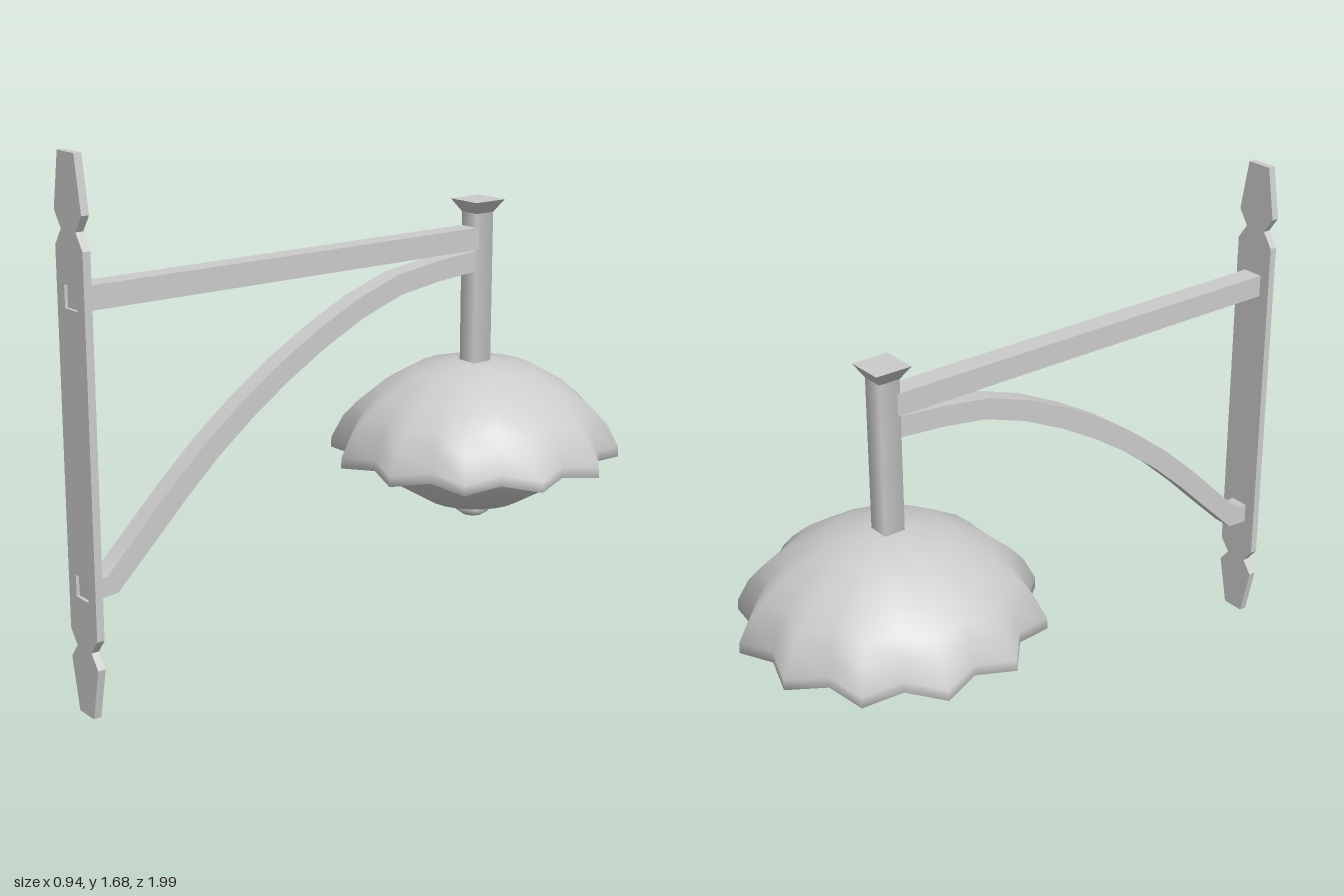
import * as THREE from 'three';
import { mergeVertices } from 'three/addons/utils/BufferGeometryUtils.js';

const LAMP_Z = -0.525;

export function createModel() {
  const model = new THREE.Group();
  const material = new THREE.MeshStandardMaterial({ color: 0xcccccc });

  function add(name, geometry, x = 0, y = 0, z = 0) {
    const mesh = new THREE.Mesh(geometry, material);
    mesh.name = name;
    mesh.position.set(x, y, z);
    model.add(mesh);
    return mesh;
  }

  // Weld the vertices so the shading runs smoothly over the whole surface
  function smooth(geometry) {
    geometry.deleteAttribute('uv');
    geometry.deleteAttribute('normal');
    const welded = mergeVertices(geometry, 1e-4);
    welded.computeVertexNormals();
    return welded;
  }

  // Upright four-sided post, given half widths at top and bottom
  const post = (top, bottom, height) =>
    new THREE.CylinderGeometry(top * Math.SQRT2, bottom * Math.SQRT2, height, 4, 1, false, Math.PI / 4);

  // Square bar bent along a list of [z, y] points
  function squareBar(path, half) {
    const n = path.length - 1;
    const g = new THREE.BoxGeometry(half * 2, half * 2, 1, 1, 1, n);
    const pos = g.attributes.position;
    for (let i = 0; i < pos.count; i++) {
      const k = Math.round((0.5 - pos.getZ(i)) * n);
      const a = path[Math.max(k - 1, 0)], b = path[Math.min(k + 1, n)];
      const dz = b[0] - a[0], dy = b[1] - a[1], len = Math.hypot(dz, dy);
      const h = pos.getY(i);
      pos.setXYZ(i, pos.getX(i), path[k][1] - (h * dz) / len, path[k][0] + (h * dy) / len);
    }
    g.computeVertexNormals();
    return g;
  }

  // Wall plate: half outline mirrored in x, with two square sockets
  const half = [[0.04, 0], [0.075, 0.165], [0.04, 0.21], [0.075, 0.255],
    [0.075, 1.41], [0.04, 1.46], [0.075, 1.51], [0.045, 1.68]];
  const outline = [...half, ...half.map(([x, y]) => [-x, y]).reverse()];
  const plate = new THREE.Shape(outline.map(([x, y]) => new THREE.Vector2(x, y)));
  for (const y of [0.4, 1.268]) {
    const s = 0.034;
    plate.holes.push(new THREE.Path([[-s, y - s], [-s, y + s], [s, y + s], [s, y - s]]
      .map(([px, py]) => new THREE.Vector2(px, py))));
  }
  add('wallPlate', new THREE.ExtrudeGeometry(plate, { depth: 0.025, bevelEnabled: false }), 0, 0, 0.975);

  // Horizontal arm
  add('arm', squareBar([[0.99, 1.268], [-0.5, 1.268]], 0.0365));

  // Curved brace with a short straight foot
  const curve = new THREE.CatmullRomCurve3([[0.917, 0.402], [0.53, 0.77], [0.18, 1.008], [-0.16, 1.155], [-0.5, 1.195]]
    .map(([z, y]) => new THREE.Vector3(0, y, z)));
  const arc = curve.getSpacedPoints(10).map((p) => [p.z, p.y]);
  add('brace', squareBar([[0.99, 0.4], ...arc], 0.034));

  // Hanging post and its flared cap
  add('post', post(0.036, 0.036, 0.55), 0, 1.095, LAMP_Z);
  add('postCap', post(0.062, 0.036, 0.042), 0, 1.371, LAMP_Z);

  // Scalloped shade: [radius, y, scallop depth] from the inner underside over the rim to the top
  const profile = [[0.34, 0.6, 0], [0.44, 0.56, 0.7], [0.472, 0.535, 1], [0.486, 0.53, 1], [0.484, 0.565, 1],
    [0.445, 0.64, 0.85], [0.4, 0.69, 0.65], [0.33, 0.75, 0.4], [0.2, 0.825, 0.15], [0.075, 0.85, 0], [0, 0.85, 0]];
  const shade = new THREE.LatheGeometry(profile.map(([r, y]) => new THREE.Vector2(r, y)), 24);
  const sp = shade.attributes.position;
  for (let i = 0; i < sp.count; i++) {
    const notch = Math.floor(i / profile.length) % 2 === 0;
    if (!notch) continue;
    const w = profile[i % profile.length][2];
    const k = 1 - 0.12 * w;
    sp.setXYZ(i, sp.getX(i) * k, sp.getY(i) + 0.014 * w, sp.getZ(i) * k);
  }
  add('shade', smooth(shade), 0, 0, LAMP_Z);

  // Glass bowl under the shade
  const bowl = [[0, 0.35], [0.06, 0.353], [0.167, 0.379], [0.274, 0.444], [0.33, 0.5], [0.358, 0.545], [0.36, 0.61]];
  add('bowl', new THREE.LatheGeometry(bowl.map(([r, y]) => new THREE.Vector2(r, y)), 24), 0, 0, LAMP_Z);

  // Knob at the bottom of the bowl
  const knob = [[0, 0.313], [0.038, 0.314], [0.056, 0.327], [0.056, 0.345], [0.045, 0.36]];
  add('knob', new THREE.LatheGeometry(knob.map(([r, y]) => new THREE.Vector2(r, y)), 12), 0, 0, LAMP_Z);

  return model;
}
